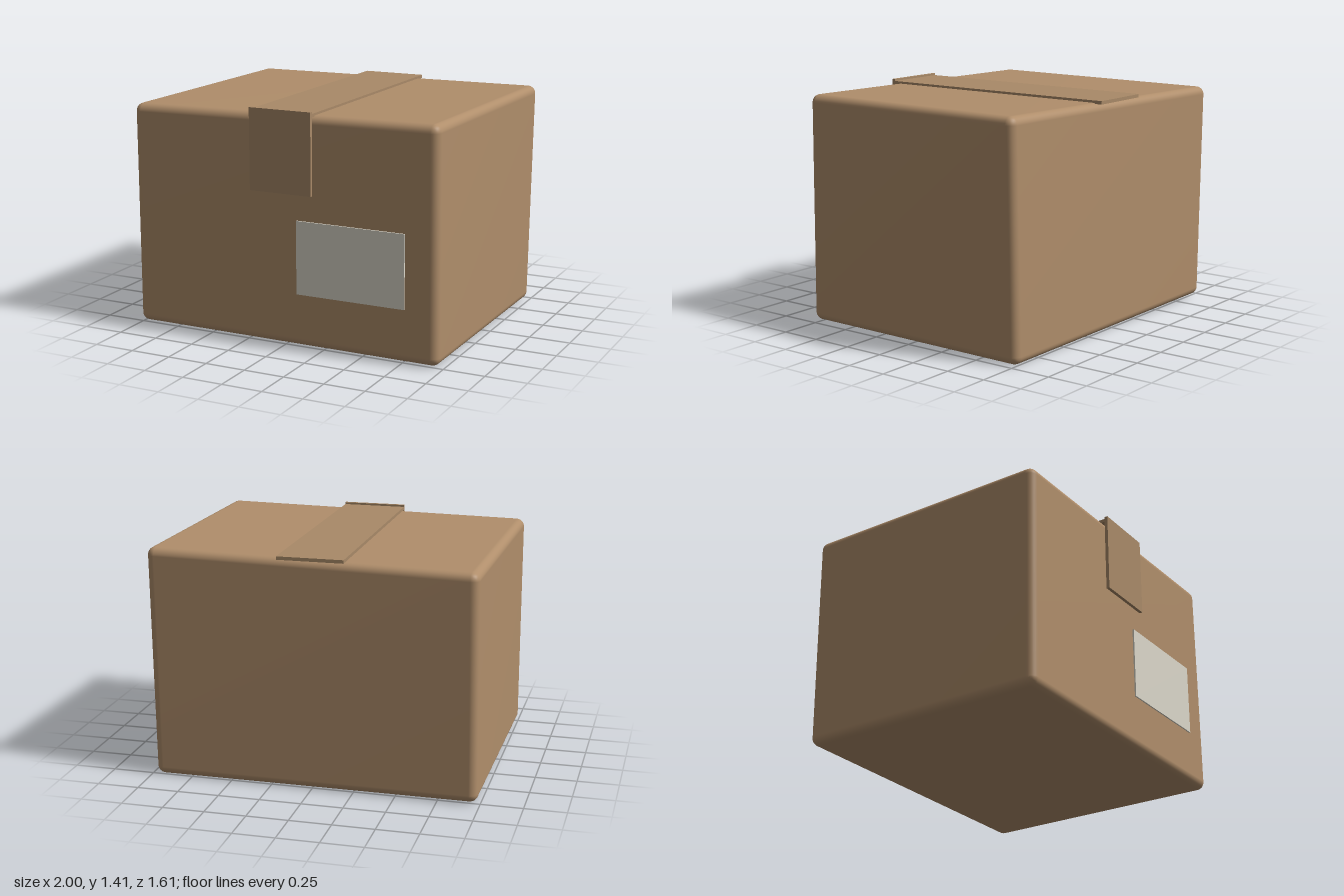
import * as THREE from 'three';
import { mergeVertices } from 'three/addons/utils/BufferGeometryUtils.js';
import { RoundedBoxGeometry } from 'three/addons/geometries/RoundedBoxGeometry.js';

const cardboard = new THREE.MeshStandardMaterial({ name: 'cardboard', color: 0xb08e6b });
const tape = new THREE.MeshStandardMaterial({ name: 'packing tape', color: 0xa98a68 });
const paper = new THREE.MeshStandardMaterial({ name: 'label paper', color: 0xdcd8cb });

// Slightly skewed carton corners, indexed by x + 2y + 4z (low = 0, high = 1)
const corners = [
  [-0.985, 0.01, -0.785], [0.975, 0, -0.765], [-0.97, 1.37, -0.81], [1, 1.397, -0.75],
  [-1, 0.015, 0.785], [0.98, 0.012, 0.785], [-1, 1.37, 0.785], [0.965, 1.397, 0.785],
].map((c) => new THREE.Vector3(...c));

// Rounded box bent so that its eight corners land on the list above
function cartonGeometry() {
  const size = new THREE.Vector3(2, 1.4, 1.58);
  let geo = new RoundedBoxGeometry(size.x, size.y, size.z, 4, 0.05);
  geo.deleteAttribute('normal');
  geo.deleteAttribute('uv');
  geo.clearGroups();
  geo = mergeVertices(geo, 1e-4);
  const pos = geo.attributes.position;
  const t = new THREE.Vector3();
  const p = new THREE.Vector3();
  for (let i = 0; i < pos.count; i++) {
    t.fromBufferAttribute(pos, i).divide(size).addScalar(0.5);
    p.set(0, 0, 0);
    corners.forEach((c, k) => {
      const weight = (k & 1 ? t.x : 1 - t.x) * (k & 2 ? t.y : 1 - t.y) * (k & 4 ? t.z : 1 - t.z);
      p.addScaledVector(c, weight);
    });
    pos.setXYZ(i, p.x, p.y, p.z);
  }
  geo.computeVertexNormals();
  return geo;
}

// Flat plate given by its lower and upper limits
function plate(name, material, min, max) {
  const size = max.map((v, i) => v - min[i]);
  const mesh = new THREE.Mesh(new THREE.BoxGeometry(...size), material);
  mesh.position.set(...max.map((v, i) => (v + min[i]) / 2));
  mesh.name = name;
  return mesh;
}

export function createModel() {
  const group = new THREE.Group();
  group.name = 'cardboardBox';

  const carton = new THREE.Mesh(cartonGeometry(), cardboard);
  carton.name = 'carton';
  group.add(carton);

  // Tape over the top seam, folded down the front
  group.add(plate('topTape', tape, [-0.2, 1.38, -0.79], [0.195, 1.4, 0.787]));
  group.add(plate('frontTape', tape, [-0.2, 0.925, 0.785], [0.195, 1.412, 0.805]));

  // Blank shipping label
  group.add(plate('label', paper, [0.095, 0.332, 0.787], [0.775, 0.772, 0.796]));
  return group;
}
